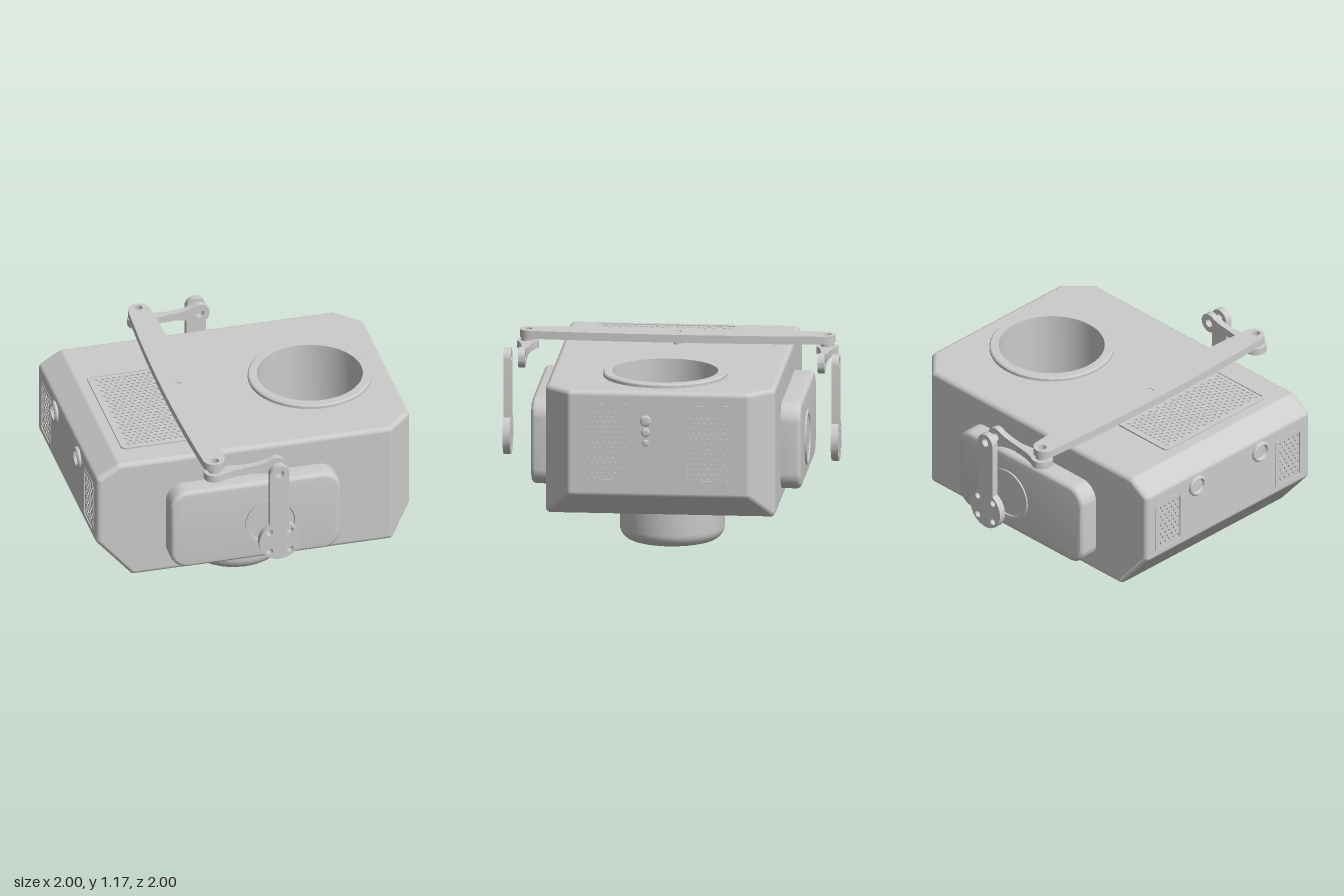
import * as THREE from 'three';
import { toCreasedNormals } from 'three/addons/utils/BufferGeometryUtils.js';
import { ConvexGeometry } from 'three/addons/geometries/ConvexGeometry.js';

const grey = new THREE.MeshStandardMaterial({ color: 0xcccccc });
const greyThin = new THREE.MeshStandardMaterial({ color: 0xcccccc, side: THREE.DoubleSide });

function add(parent, name, geo, x = 0, y = 0, z = 0, mat = grey) {
  const m = new THREE.Mesh(geo, mat);
  m.name = name;
  m.position.set(x, y, z);
  parent.add(m);
  return m;
}

const circle = (x, y, r) => new THREE.Path().absarc(x, y, r, 0, Math.PI * 2, true);
const polygon = (pts) => new THREE.Shape(pts.map(([x, y]) => new THREE.Vector2(x, y)));
const lathe = (pts, n = 48) =>
  toCreasedNormals(new THREE.LatheGeometry(pts.map(([x, y]) => new THREE.Vector2(x, y)), n), 0.5);

// Rounded rectangle centred on (x, y)
function roundRect(w, h, r, x = 0, y = 0) {
  const a = w / 2 - r, b = h / 2 - r, s = new THREE.Shape();
  s.absarc(x + a, y - b, r, -Math.PI / 2, 0, false);
  s.absarc(x + a, y + b, r, 0, Math.PI / 2, false);
  s.absarc(x - a, y + b, r, Math.PI / 2, Math.PI, false);
  s.absarc(x - a, y - b, r, Math.PI, Math.PI * 1.5, false);
  return s;
}

// Plate of a given thickness, centred on z = 0, with an optional rounded edge
function plate(shape, depth, bevel = 0) {
  const g = new THREE.ExtrudeGeometry(shape, {
    depth: depth - 2 * bevel, curveSegments: 14, bevelEnabled: bevel > 0,
    bevelSize: bevel, bevelThickness: bevel, bevelOffset: -bevel, bevelSegments: 4,
  });
  g.translate(0, 0, bevel - depth / 2);
  return toCreasedNormals(g, 0.35);
}

// Chamfered housing with rounded edges: hull of small balls at the corners,
// leaving out the top and end faces, which are added with openings
function housingShell() {
  const r = 0.03, centres = [], dirs = [];
  const profile = [[0.818, 0.35, 0.655], [0.818, 1.07, 0.655], [0.95, 0.482, 0.523], [0.95, 1.07, 0.523],
    [-0.745, 0.35, 0.655], [-0.95, 0.59, 0.655], [-0.95, 1.0, 0.655], [-0.835, 1.07, 0.655]];
  for (const [x, y, z] of profile)
    for (const s of [1, -1]) centres.push(new THREE.Vector3(x, y, z * s));
  for (let i = 0; i <= 8; i++) {
    const n = i % 8 ? 16 : 1;
    for (let j = 0; j < n; j++)
      dirs.push(new THREE.Vector3().setFromSphericalCoords(1, i * Math.PI / 8, j * Math.PI / 8));
  }
  dirs.push(new THREE.Vector3(-0.24, -0.205, 0).normalize(), new THREE.Vector3(-0.07, 0.115, 0).normalize());
  const points = centres.flatMap((c) => dirs.map((d) => c.clone().addScaledVector(d, r)));
  const src = new ConvexGeometry(points).attributes.position;
  const pos = [], nor = [], tri = new THREE.Triangle(), fn = new THREE.Vector3();
  for (let i = 0; i < src.count; i += 3) {
    tri.setFromAttributeAndIndices(src, i, i + 1, i + 2);
    tri.getNormal(fn);
    if (fn.y > 0.9999 || Math.abs(fn.x) > 0.9999) continue;
    for (const p of [tri.a, tri.b, tri.c]) {
      const c = centres.reduce((m, q) => (q.distanceTo(p) < m.distanceTo(p) ? q : m));
      const n = p.clone().sub(c).normalize();
      pos.push(p.x, p.y, p.z);
      nor.push(n.x, n.y, n.z);
    }
  }
  const g = new THREE.BufferGeometry();
  g.setAttribute('position', new THREE.Float32BufferAttribute(pos, 3));
  g.setAttribute('normal', new THREE.Float32BufferAttribute(nor, 3));
  return g;
}

// Perforated grille with a thin frame, facing +z
function vent(parent, x, y, w, h, raise) {
  const g = new THREE.Group();
  g.name = 'vent';
  g.position.set(x, y, 0);
  const frame = roundRect(w, h, 0.03);
  frame.holes.push(roundRect(w - 0.03, h - 0.03, 0.02));
  add(g, 'ventFrame', plate(frame, 0.02 + raise), 0, 0, raise / 2 - 0.01);
  const mesh = roundRect(w - 0.02, h - 0.02, 0.025);
  const px = 0.036, py = 0.031;
  const rows = Math.floor((h - 0.07) / py), cols = Math.floor((w - 0.07) / px);
  for (let j = 0; j <= rows; j++)
    for (let i = 0; i <= cols - (j % 2); i++) {
      const cx = (i - cols / 2 + (j % 2) / 2) * px, cy = (j - rows / 2) * py;
      const hole = new THREE.Path();
      for (let k = 0; k < 6; k++) {
        const a = -k * Math.PI / 3 + Math.PI / 6;
        hole[k ? 'lineTo' : 'moveTo'](cx + 0.0135 * Math.cos(a), cy + 0.0135 * Math.sin(a));
      }
      hole.closePath();
      mesh.holes.push(hole);
    }
  add(g, 'ventMesh', plate(mesh, 0.008), 0, 0, raise - 0.01);
  add(g, 'ventBack', new THREE.ShapeGeometry(roundRect(w, h, 0.03)), 0, 0, -0.025, greyThin);
  parent.add(g);
}

// One flat housing face with openings for its vents; returns the face's group
function face(root, name, outline, vents, raise, holes = []) {
  const g = new THREE.Group();
  g.name = name;
  const s = polygon(outline);
  s.holes.push(...holes);
  for (const [x, y, w, h] of vents) {
    s.holes.push(roundRect(w - 0.01, h - 0.01, 0.025, x, y));
    vent(g, x, y, w, h, raise);
  }
  add(g, name + 'Panel', new THREE.ShapeGeometry(s, 32), 0, 0, 0, greyThin);
  root.add(g);
  return g;
}

// Link half: an eye at the origin narrowing to a bar that ends at x = len
function eyeShape(len, R) {
  const s = new THREE.Shape(), a = Math.PI / 3, c = R * Math.cos(a), d = R * Math.sin(a);
  s.moveTo(len, -0.022);
  s.lineTo(len, 0.022);
  s.quadraticCurveTo(len * 0.45, 0.026, c, d);
  s.absarc(0, 0, R, a, 2 * Math.PI - a, false);
  s.quadraticCurveTo(len * 0.45, -0.026, len, -0.022);
  s.holes.push(circle(0, 0, 0.026));
  return s;
}

export function createModel() {
  const root = new THREE.Group();
  root.name = 'housingWithLinkage';

  // Housing
  add(root, 'housing', housingShell());
  const top = face(root, 'top',
    [[-0.835, -0.655], [0.818, -0.655], [0.95, -0.523], [0.95, 0.523], [0.818, 0.655], [-0.835, 0.655]],
    [[-0.57, -0.1, 0.42, 0.84]], 0.01, [circle(0.51, 0, 0.34)]);
  top.rotation.x = -Math.PI / 2;
  top.position.y = 1.1;
  const rightEnd = face(root, 'ventedEnd',
    [[-0.523, 0.482], [0.523, 0.482], [0.523, 1.07], [-0.523, 1.07]],
    [[-0.303, 0.783, 0.29, 0.475], [0.303, 0.783, 0.29, 0.475]], 0.003);
  rightEnd.rotation.y = Math.PI / 2;
  rightEnd.position.x = 0.98;
  const leftEnd = face(root, 'connectorEnd',
    [[-0.655, 0.59], [0.655, 0.59], [0.655, 1.0], [-0.655, 1.0]],
    [[-0.5, 0.775, 0.22, 0.34], [0.5, 0.775, 0.22, 0.34]], 0.003);
  leftEnd.rotation.y = -Math.PI / 2;
  leftEnd.position.x = -0.98;

  // Open well with rim, and the dome below
  add(root, 'well', lathe([[0, 0.5], [0.315, 0.5], [0.315, 1.125], [0.362, 1.125], [0.37, 1.117], [0.37, 1.09]].reverse(), 64),
    0.51, 0, 0, greyThin);
  const dome = [[0, 0]];
  for (let i = 0; i <= 8; i++) {
    const a = i * Math.PI / 16;
    dome.push([0.232 + 0.08 * Math.sin(a), 0.08 - 0.08 * Math.cos(a)]);
  }
  add(root, 'dome', lathe([...dome, [0.312, 0.33]], 64), 0.04);
  add(root, 'domeCollar', new THREE.CylinderGeometry(0.365, 0.365, 0.03, 64), 0.04, 0.32);

  // Indicator buttons and round connectors on the ends
  for (const [y, r] of [[0.925, 0.033], [0.855, 0.026], [0.79, 0.02]])
    add(root, 'button', lathe([[r, -0.01], [r, 0.01], [r * 0.8, 0.017], [r * 0.4, 0.02], [0, 0.02]], 24),
      0.98, y, 0.075, greyThin).rotation.z = -Math.PI / 2;
  for (const z of [-0.265, 0.265])
    add(root, 'connector', lathe([[0.066, -0.01], [0.066, 0.012], [0.058, 0.02], [0.048, 0.02], [0.042, 0.003], [0, 0.003]], 32),
      -0.98, 0.93, z, greyThin).rotation.z = Math.PI / 2;

  // Crank arm outline: rounded top, straight arm, disc with four bolt holes
  const crank = new THREE.Shape(), a0 = Math.acos(0.06 / 0.125);
  crank.absarc(0, 0, 0.125, Math.PI - a0, 2 * Math.PI + a0, false);
  crank.absarc(0, 0.46, 0.06, 0, Math.PI, false);
  crank.closePath();
  crank.holes.push(circle(0, 0.465, 0.026));
  for (const x of [-0.063, 0.063]) for (const y of [-0.065, 0.065]) crank.holes.push(circle(x, y, 0.02));

  const spacer = new THREE.Shape().absarc(0, 0, 0.04, 0, Math.PI * 2, false);
  spacer.holes.push(circle(0, 0, 0.026));

  for (const s of [1, -1]) {
    // Side boss with its bearing disc
    add(root, 'sideBoss', plate(roundRect(1.045, 0.525, 0.11), 0.205, 0.03), -0.032, 0.658, s * 0.7025);
    add(root, 'bearingDisc', lathe([[0.165, -0.02], [0.165, 0.01], [0.14, 0.01], [0.135, 0.003], [0, 0.003]]),
      0.065, 0.635, s * 0.805, greyThin).rotation.x = s * Math.PI / 2;
    // Linkage
    add(root, 'crank', plate(crank, 0.043), 0.063, 0.62, s * 0.9785);
    add(root, 'linkFlatEye', plate(eyeShape(0.2, 0.065), 0.045), -0.31, 1.083, s * 0.893).rotation.x = -Math.PI / 2;
    add(root, 'linkUprightEye', plate(eyeShape(0.19, 0.06), 0.04), 0.065, 1.085, s * 0.893).rotation.z = Math.PI;
    add(root, 'spacer', plate(spacer, 0.03), -0.31, 1.115, s * 0.893).rotation.x = -Math.PI / 2;
  }

  // Cross strap, widest in the middle
  const strap = new THREE.Shape();
  strap.moveTo(0.066, -0.88);
  strap.quadraticCurveTo(0.122, 0, 0.066, 0.88);
  strap.absarc(0, 0.874, 0.066, 0.1, Math.PI - 0.1, false);
  strap.quadraticCurveTo(-0.122, 0, -0.066, -0.88);
  strap.absarc(0, -0.874, 0.066, Math.PI + 0.1, 2 * Math.PI - 0.1, false);
  for (const y of [-0.893, 0, 0.893]) strap.holes.push(circle(0, y, 0.026));
  add(root, 'crossStrap', plate(strap, 0.048), -0.31, 1.151, 0).rotation.x = -Math.PI / 2;
  add(root, 'strapPin', new THREE.CylinderGeometry(0.025, 0.025, 0.08, 24), -0.31, 1.131, 0);

  return root;
}
